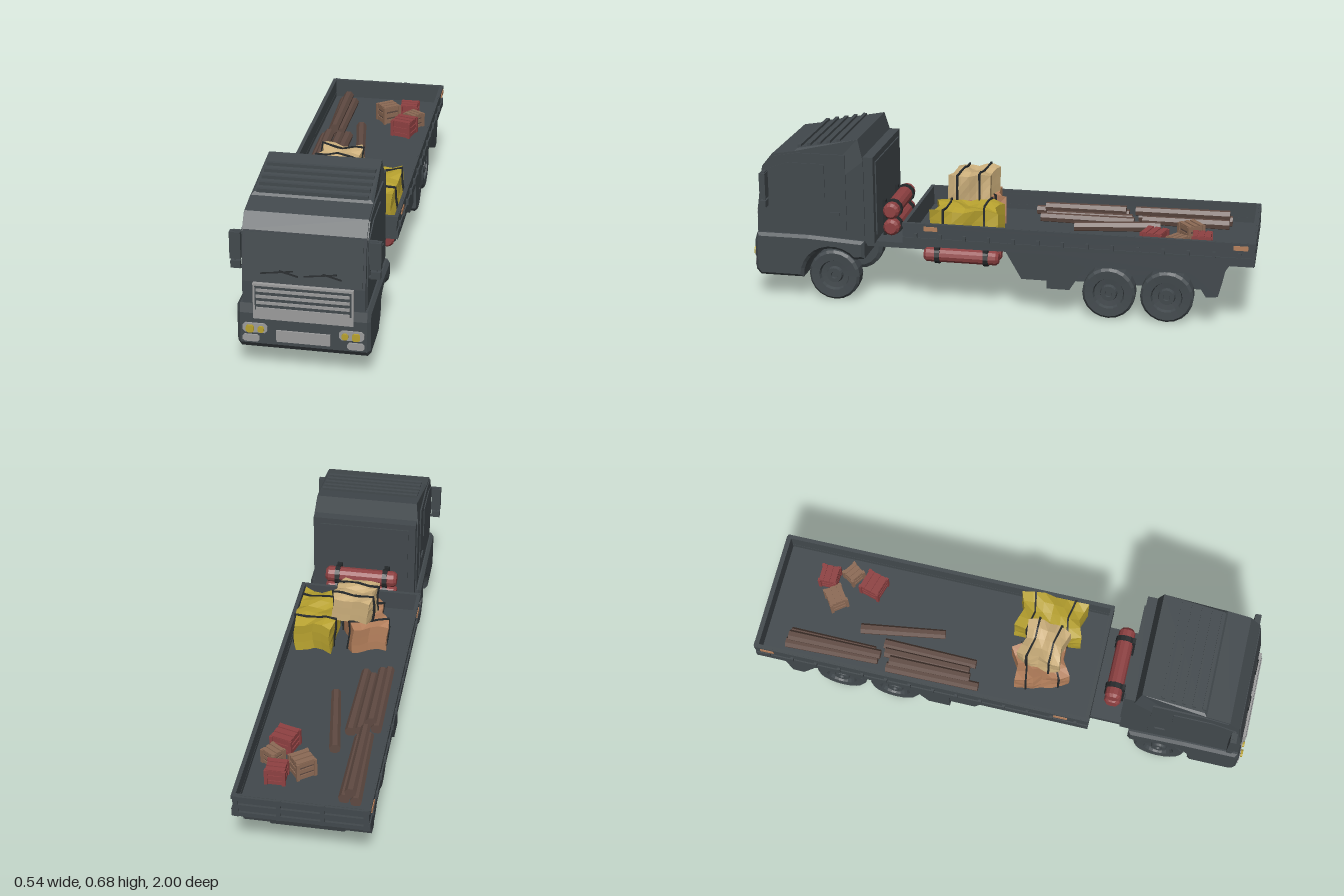
import * as THREE from 'three';

const mat = (name, color) => {
  const m = new THREE.MeshStandardMaterial({ color, flatShading: true, side: THREE.DoubleSide });
  m.name = name;
  return m;
};

export function createModel() {
  const root = new THREE.Group();
  const dark = mat('slate paint', 0x42494d), black = mat('strap black', 0x25292b);
  const grey = mat('light grey', 0x9c9c9c), red = mat('red', 0x8f4142);
  const wood = mat('dark wood', 0x5f4a42), clay = mat('clay', 0xb5805c);
  const tan = mat('tan', 0xcdb07c), yellow = mat('yellow', 0xb8a22f);
  const crateWood = mat('crate wood', 0x8c6a55);

  const add = (name, geo, m, x = 0, y = 0, z = 0, parent = root) => {
    const mesh = new THREE.Mesh(geo, m);
    mesh.name = name;
    mesh.position.set(x, y, z);
    parent.add(mesh);
    return mesh;
  };
  const box = (name, m, w, h, d, x, y, z, parent) => add(name, new THREE.BoxGeometry(w, h, d), m, x, y, z, parent);
  const shapeOf = pts => new THREE.Shape(pts.map(p => new THREE.Vector2(...p)));
  // Side profile in (z, y), extruded across x and centred
  const acrossX = (pts, w, bevel = 0) => {
    const g = new THREE.ExtrudeGeometry(shapeOf(pts), {
      depth: w - 2 * bevel, bevelEnabled: bevel > 0, bevelThickness: bevel, bevelSize: bevel, bevelOffset: -bevel, bevelSegments: 1,
    });
    return g.translate(0, 0, bevel - w / 2).rotateY(-Math.PI / 2);
  };
  // Plate with cut corners facing +z
  const octPlate = (w, h, c, d = 0.008) => {
    const a = w / 2, b = h / 2;
    return new THREE.ExtrudeGeometry(shapeOf([[-a + c, -b], [a - c, -b], [a, -b + c], [a, b - c], [a - c, b], [-a + c, b], [-a, b - c], [-a, -b + c]]),
      { depth: d, bevelEnabled: false });
  };

  // Cab shell, narrowed at the roof
  const cab = acrossX([[0.975, 0.24], [0.972, 0.36], [0.945, 0.55], [0.903, 0.602], [0.81, 0.618], [0.8, 0.628],
    [0.555, 0.675], [0.533, 0.59], [0.533, 0.235]], 0.44);
  const cp = cab.attributes.position;
  for (let i = 0; i < cp.count; i++) if (cp.getY(i) > 0.62) cp.setX(i, cp.getX(i) * 0.95);
  add('cabShell', cab, dark);

  // Wide lower cab with the front wheel arch
  const lower = [[0.533, 0.262], [0.533, 0.19]];
  for (let i = 0; i <= 10; i++) {
    const a = 0.72 + (Math.PI - 0.72) * i / 10;
    lower.push([0.667 + 0.12 * Math.cos(a) * -1, 0.104 + 0.12 * Math.sin(a)]);
  }
  lower.push([0.787, 0.097], [0.967, 0.097], [0.985, 0.12], [0.985, 0.24], [0.975, 0.275], [0.76, 0.275]);
  add('lowerCab', acrossX(lower, 0.48, 0.012), dark);
  box('cabBackPanel', dark, 0.43, 0.355, 0.04, 0, 0.428, 0.515);
  box('cabBackInset', dark, 0.37, 0.3, 0.008, 0, 0.43, 0.494);
  [0.635, 0.675, 0.715, 0.755, 0.795].forEach(z =>
    box('roofRib', dark, 0.4, 0.014, 0.014, 0, 0.632 + (0.8 - z) * 0.19, z));

  // Windscreen and wipers
  const tilt = -0.144;
  box('windscreen', dark, 0.42, 0.18, 0.008, 0, 0.455, 0.958).rotation.x = tilt;
  for (const x of [-0.095, 0.06]) {
    const wiper = new THREE.Group();
    wiper.name = 'wiper';
    wiper.position.set(x, 0.403, 0.97);
    wiper.rotation.x = tilt;
    root.add(wiper);
    box('wiperBlade', black, 0.118, 0.005, 0.006, 0, 0, 0, wiper).rotation.z = 0.13;
    box('wiperArm', black, 0.07, 0.005, 0.006, 0.042, -0.002, 0.002, wiper).rotation.z = -0.25;
  }

  // Grille, plate and lamps
  box('grilleFrame', grey, 0.36, 0.14, 0.018, 0, 0.29, 0.977);
  box('grilleRecess', dark, 0.345, 0.095, 0.006, 0, 0.304, 0.985);
  for (let i = 0; i < 4; i++) box('grilleSlat', grey, 0.335, 0.011, 0.006, 0, 0.337 - i * 0.0245, 0.989);
  box('frontPlate', grey, 0.194, 0.045, 0.008, 0, 0.158, 0.987);
  for (const s of [1, -1]) {
    add('headlampPanel', octPlate(0.09, 0.037, 0.01), grey, s * 0.174, 0.184, 0.983);
    add('headlamp', octPlate(0.028, 0.028, 0.006), yellow, s * 0.191, 0.183, 0.992);
    add('innerLamp', octPlate(0.023, 0.023, 0.006), yellow, s * 0.151, 0.183, 0.992);
    add('fogLampPanel', octPlate(0.061, 0.027, 0.007), grey, s * 0.189, 0.142, 0.983);

    // Doors and side windows
    add('door', acrossX([[0.955, 0.28], [0.605, 0.285], [0.605, 0.612], [0.8, 0.612], [0.9, 0.595], [0.938, 0.54]], 0.006), dark, s * 0.221, 0, 0);
    add('sideWindow', acrossX([[0.935, 0.4], [0.69, 0.435], [0.69, 0.572], [0.84, 0.572], [0.93, 0.54]], 0.006), dark, s * 0.225, 0, 0);
    box('doorHandle', dark, 0.008, 0.012, 0.04, s * 0.226, 0.37, 0.65);

    // Mirrors
    box('mirror', dark, 0.04, 0.104, 0.024, s * 0.25, 0.481, 0.932);
    box('lowerMirror', dark, 0.036, 0.028, 0.022, s * 0.25, 0.406, 0.932);
    for (const y of [0.533, 0.394]) box('mirrorArm', dark, 0.045, 0.007, 0.012, s * 0.235, y, 0.93);
    box('mirrorRod', dark, 0.007, 0.14, 0.01, s * 0.253, 0.463, 0.93);
  }

  // Wheels and axles
  const off = -0.006;
  const tyre = new THREE.LatheGeometry([[0, -0.036], [0.088, -0.036], [0.104, -0.026], [0.104, 0.026], [0.094, 0.036], [0.062, 0.034],
    [0.057, 0.02], [0.034, 0.018], [0.03, 0.034], [0.014, 0.034], [0.012, 0.026], [0, 0.026]].map(p => new THREE.Vector2(...p)), 20).rotateZ(-Math.PI / 2);
  for (const z of [0.667, -0.44, -0.667]) {
    for (const s of [1, -1]) add('wheel', tyre, dark, off + s * 0.183, 0.104, z).rotation.y = s > 0 ? 0 : Math.PI;
    add('axle', new THREE.CylinderGeometry(0.014, 0.014, 0.34, 10).rotateZ(Math.PI / 2), dark, off, 0.104, z);
  }

  // Chassis under the bed
  box('chassisDeck', dark, 0.39, 0.022, 0.28, off, 0.242, 0.42);
  box('chassisFrame', dark, 0.2, 0.03, 1.3, off, 0.25, -0.3);
  add('frontSkirt', acrossX([[-0.03, 0.265], [-0.098, 0.147], [-0.2, 0.147], [-0.26, 0.265]], 0.46), dark, off, 0, 0);
  add('rearUnderbody', acrossX([[-0.19, 0.265], [-0.19, 0.118], [-0.86, 0.118], [-0.885, 0.2], [-0.925, 0.265]], 0.28), dark, off, 0, 0);
  const fender = acrossX([[-0.2, 0.118], [-0.29, 0.118], [-0.35, 0.218], [-0.76, 0.218], [-0.82, 0.125], [-0.865, 0.13],
    [-0.88, 0.19], [-0.895, 0.265], [-0.2, 0.265]], 0.1);
  for (const s of [1, -1]) add('rearFender', fender, dark, off + s * 0.19, 0, 0);

  // Cargo bed
  const bed = new THREE.Group();
  bed.name = 'cargoBed';
  bed.position.x = -0.008;
  root.add(bed);
  box('bedFloor', dark, 0.5, 0.014, 1.37, 0, 0.27, -0.312, bed);
  for (const s of [1, -1]) {
    box('bedSide', dark, 0.01, 0.093, 1.37, s * 0.242, 0.31, -0.312, bed);
    box('sideRail', dark, 0.016, 0.016, 1.37, s * 0.244, 0.348, -0.312, bed);
    box('sideSill', dark, 0.016, 0.034, 1.37, s * 0.244, 0.28, -0.312, bed);
    for (let i = 0; i < 14; i++) box('tieHook', dark, 0.01, 0.022, 0.012, s * 0.252, 0.305, 0.32 - i * 0.097, bed);
    for (const z of [0.26, -0.945]) box('sideMarker', clay, 0.008, 0.018, 0.055, s * 0.251, 0.337, z, bed);
  }
  box('bedFront', dark, 0.49, 0.093, 0.014, 0, 0.31, 0.365, bed);
  box('tailgate', dark, 0.49, 0.093, 0.01, 0, 0.31, -0.986, bed);
  for (const y of [0.275, 0.31, 0.346]) box('tailgateRail', dark, 0.49, 0.018, 0.012, 0, y, -0.994, bed);
  for (const x of [-0.235, -0.08, 0.08, 0.235]) box('tailgatePost', dark, 0.016, 0.093, 0.012, x, 0.31, -0.994, bed);

  // Strapped tanks: two behind the cab, two under each side of the bed
  const tank = (x, y, z, len, r, strapAt, acrossCab) => {
    const g = new THREE.Group();
    g.name = 'tank';
    g.position.set(x, y, z);
    if (acrossCab) g.rotation.y = Math.PI / 2;
    root.add(g);
    const h = len / 2, c = r * 0.35;
    const prof = [[0, -h], [r * 0.7, -h], [r, -h + c], [r, h - c], [r * 0.7, h], [0, h]].map(p => new THREE.Vector2(...p));
    add('tankBody', new THREE.LatheGeometry(prof, 12).rotateX(Math.PI / 2), red, 0, 0, 0, g);
    for (const t of strapAt)
      add('tankStrap', new THREE.CylinderGeometry(r + 0.006, r + 0.006, 0.02, 12).rotateX(Math.PI / 2), black, 0, 0, t, g);
  };
  for (const y of [0.365, 0.297]) tank(0.003, y, 0.445, 0.3, 0.033, [-0.1, 0.1], true);
  for (const x of [-0.2, -0.14, 0.128, 0.188]) tank(x, 0.213, 0.148, 0.3, 0.029, [-0.1, 0.095], false);
  for (const x of [-0.1, 0.1]) box('tankBracket', black, 0.022, 0.15, 0.012, x, 0.325, 0.48);
  for (const s of [1, -1]) for (const z of [0.048, 0.243]) box('tankHanger', black, 0.12, 0.026, 0.02, off + s * 0.164, 0.253, z);

  // Logs: [x1, z1, x2, z2, y]
  [[-0.19, -0.89, -0.18, -0.51, 0.295], [-0.145, -0.88, -0.145, -0.53, 0.295], [-0.168, -0.88, -0.165, -0.5, 0.325],
    [-0.2, -0.47, -0.198, -0.09, 0.295], [-0.178, -0.46, -0.175, -0.13, 0.318], [-0.14, -0.49, -0.14, -0.14, 0.295],
    [-0.105, -0.5, -0.108, -0.12, 0.295], [-0.065, -0.61, -0.012, -0.27, 0.296]].forEach(([x1, z1, x2, z2, y]) => {
    const len = Math.hypot(x2 - x1, z2 - z1);
    add('log', new THREE.CylinderGeometry(0.019, 0.022, len, 7).rotateX(Math.PI / 2), wood, (x1 + x2) / 2, y, (z1 + z2) / 2)
      .rotation.y = Math.atan2(x2 - x1, z2 - z1);
  });

  // Crates with raised slats
  const crate = (m, x, z, w, h, d, ry) => {
    const g = new THREE.Group();
    g.name = 'crate';
    g.position.set(x, 0.277 + h / 2, z);
    g.rotation.y = ry;
    root.add(g);
    box('crateCore', m === red ? red : wood, w * 0.9, h * 0.92, d * 0.9, 0, 0, 0, g);
    for (const i of [-1, 0, 1]) {
      box('crateBand', m, w, h * 0.24, d, 0, i * h * 0.36, 0, g);
      box('crateSlat', m, w, 0.006, d * 0.26, 0, h / 2, i * d * 0.36, g);
    }
    for (const a of [-1, 1]) for (const b of [-1, 1]) box('cratePost', m, 0.012, h, 0.012, a * w * 0.47, 0, b * d * 0.47, g);
  };
  crate(red, 0.12, -0.79, 0.072, 0.065, 0.07, 0);
  crate(red, 0.123, -0.605, 0.083, 0.068, 0.083, -0.28);
  crate(crateWood, 0.033, -0.74, 0.075, 0.075, 0.07, 0.65);
  crate(crateWood, 0.152, -0.698, 0.06, 0.06, 0.058, -0.6);

  // Soft wrapped bundles with straps that follow the same bulge
  const bundle = (name, m, w, h, d, x, y, z, ry, straps) => {
    const g = new THREE.Group();
    g.name = name;
    g.position.set(x, y, z);
    g.rotation.y = ry;
    root.add(g);
    const soften = geo => {
      const p = geo.attributes.position;
      for (let i = 0; i < p.count; i++) {
        const a = p.getX(i), b = p.getY(i), c = p.getZ(i);
        const pinch = 1 - 0.07 * Math.cos(c / d * 12.5);
        p.setXYZ(i, a * pinch + 0.006 * Math.sin(c * 40 + b * 30), b * pinch + 0.007 * Math.sin(a * 45 + c * 28), c * (1 - 0.1 * Math.cos(a / w * 6)));
      }
      return geo;
    };
    add('wrapping', soften(new THREE.BoxGeometry(w, h, d, 4, 3, 6)), m, 0, 0, 0, g);
    for (const t of straps) {
      const band = new THREE.BoxGeometry(w + 0.008, h + 0.008, 0.007, 4, 3, 1).translate(0, 0, t * d);
      add('bundleStrap', soften(band), black, 0, 0, 0, g);
    }
  };
  bundle('yellowBundle', yellow, 0.155, 0.13, 0.25, 0.132, 0.34, 0.135, 0, [-0.3, 0.3]);
  bundle('clayBundle', clay, 0.15, 0.12, 0.2, -0.065, 0.337, 0.135, 0.3, [-0.3, 0.3]);
  bundle('tanBundle', tan, 0.155, 0.105, 0.16, -0.022, 0.452, 0.138, -0.1, [-0.26, 0.26]);

  return root;
}
